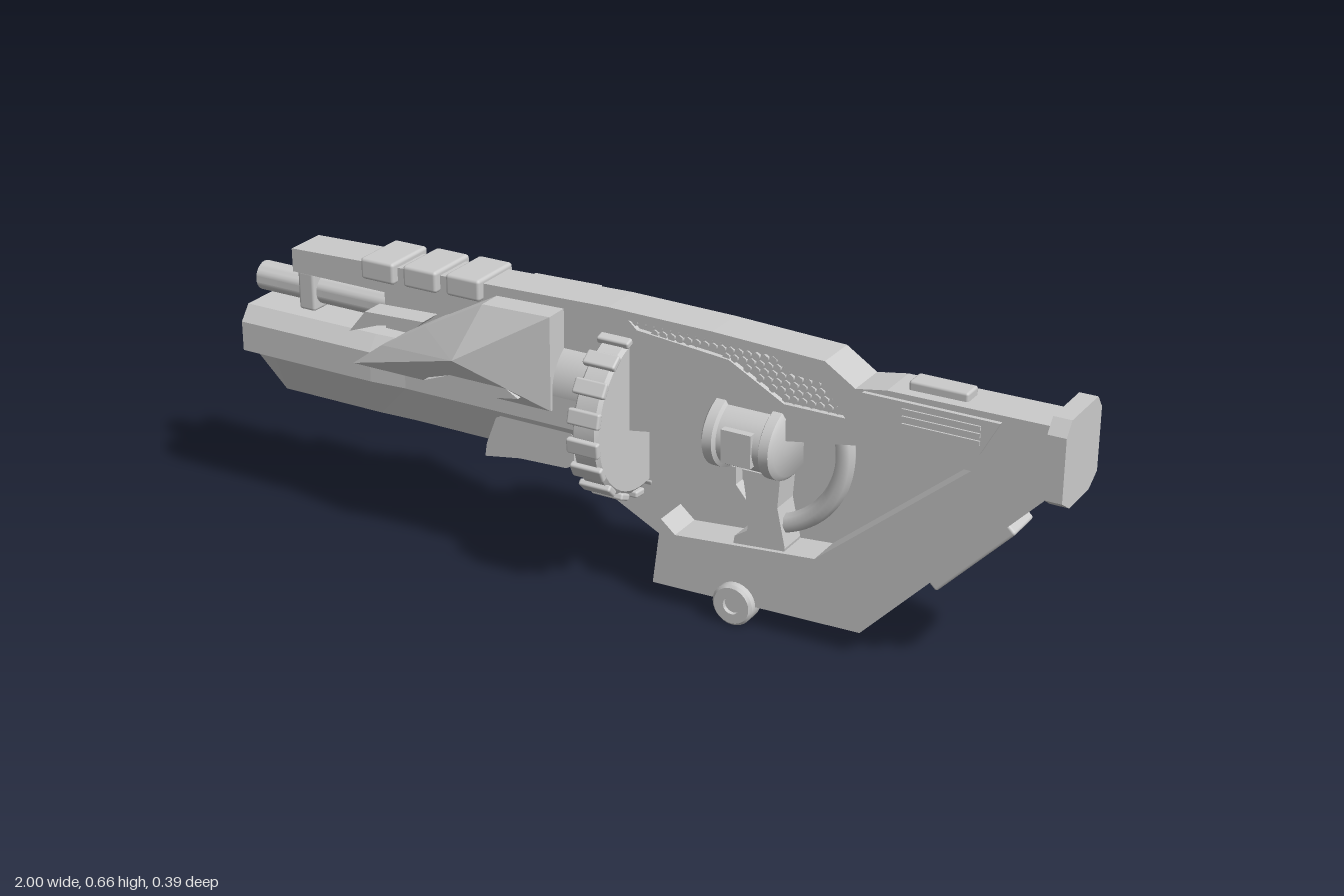
import * as THREE from 'three';
import { RoundedBoxGeometry } from 'three/addons/geometries/RoundedBoxGeometry.js';
import { toCreasedNormals } from 'three/addons/utils/BufferGeometryUtils.js';

const mat = new THREE.MeshStandardMaterial({ color: 0xcccccc, side: THREE.DoubleSide });

export function createModel() {
  const model = new THREE.Group();
  const add = (name, geo, x = 0, y = 0, z = 0) => {
    const m = new THREE.Mesh(geo, mat);
    m.name = name;
    m.position.set(x, y, z);
    model.add(m);
    return m;
  };
  const vecs = (pts) => pts.map(([x, y]) => new THREE.Vector2(x, y));

  // Side profile (x, y) extruded from z0 to z1
  const slab = (name, pts, z0, z1, holes = []) => {
    const shape = new THREE.Shape(vecs(pts));
    holes.forEach((h) => shape.holes.push(new THREE.Path(vecs(h))));
    const geo = new THREE.ExtrudeGeometry(shape, { depth: z1 - z0, bevelEnabled: false });
    return add(name, geo.translate(0, 0, z0));
  };
  // Half cross-section (z, y), mirrored and extruded along x
  const prismX = (half, x0, x1, steps = 1) => {
    const pts = [...half, ...half.map(([z, y]) => [-z, y]).reverse()];
    return new THREE.ExtrudeGeometry(new THREE.Shape(vecs(pts)),
      { depth: x1 - x0, steps, bevelEnabled: false }).rotateY(Math.PI / 2).translate(x0, 0, 0);
  };
  // Turned profile (radius, x) around the x axis
  const latheX = (pts, seg = 40) => toCreasedNormals(
    new THREE.LatheGeometry(vecs(pts), seg).rotateZ(-Math.PI / 2), 0.6);

  // Flat body: full back plate, C-shaped frame and a pierced front skin
  const top = [[-0.88, 0.58], [-0.88, 0.635], [-0.4, 0.652], [-0.05, 0.663], [0.2, 0.66],
    [0.46, 0.65], [0.53, 0.605], [0.6, 0.617], [0.96, 0.62], [0.96, 0.47], [0.94, 0.45],
    [0.56, 0.055], [0.06, 0.042]];
  const front = [[-0.3, 0.39], [-0.3, 0.5], [-0.5, 0.58]];
  slab('backPlate', [...top, [0.075, 0.09], [-0.3, 0.28], ...front.slice(1)], -0.05, -0.035);
  const frame = [...top, [0.08, 0.2], [0.115, 0.17], [0.45, 0.2], [0.79, 0.485],
    [0.56, 0.485], [0.3, 0.44], [0, 0.39], ...front];
  slab('frame', frame, -0.035, 0.038);
  const grille = [[0, 0.643], [0.34, 0.638], [0.39, 0.605], [0.46, 0.6], [0.51, 0.535],
    [0.37, 0.535], [0.24, 0.605], [0.02, 0.625]];
  slab('frontSkin', frame, 0.038, 0.05, [grille]);

  // Honeycomb filling the grille opening
  const inside = (x, y) => {
    let hit = false;
    grille.forEach(([ax, ay], i) => {
      const [bx, by] = grille[(i + 1) % grille.length];
      if (ay > y !== by > y && x < ((bx - ax) * (y - ay)) / (by - ay) + ax) hit = !hit;
    });
    return hit;
  };
  for (let r = 0; r < 9; r++) {
    for (let c = 0; c < 28; c++) {
      const x = (c + (r % 2) / 2) * 0.02, y = 0.53 + r * 0.0155;
      if (inside(x, y)) {
        add('honeycombCell', new THREE.CylinderGeometry(0.009, 0.009, 0.008, 6)
          .rotateX(Math.PI / 2), x, y, 0.041);
      }
    }
  }

  // Stock: butt plate, vent panels, cheek block and the lower edge pad
  add('buttPlate', prismX([[0.05, 0.455], [0.09, 0.48], [0.09, 0.62], [0.066, 0.65]], 0.96, 1));
  add('stockTopBlock', new RoundedBoxGeometry(0.13, 0.03, 0.05, 2, 0.006), 0.7, 0.622, 0);
  for (const s of [1, -1]) {
    slab('ventPanel', [[0.55, 0.605], [0.85, 0.605], [0.81, 0.53], [0.595, 0.53]],
      s > 0 ? 0.045 : -0.06, s > 0 ? 0.06 : -0.045);
    for (let i = 0; i < 3; i++) {
      add('ventSlat', new THREE.BoxGeometry(0.17, 0.009, 0.006), 0.725, 0.555 + i * 0.016, s * 0.061);
    }
  }
  const pad = add('stockEdgePad', new RoundedBoxGeometry(0.24, 0.03, 0.094, 2, 0.006), 0.798, 0.292, 0);
  pad.rotation.z = Math.atan2(0.395, 0.38);

  // Pivot housing with end collars and side windows
  add('pivotHousing', latheX([[0, -0.085], [0.1, -0.085], [0.113, -0.077], [0.113, -0.055],
    [0.103, -0.05], [0.103, 0.05], [0.113, 0.055], [0.113, 0.077], [0.1, 0.085], [0, 0.085]]),
  0.29, 0.437, 0).scale.y = 0.76;
  for (const s of [1, -1]) {
    add('pivotWindow', new THREE.BoxGeometry(0.07, 0.075, 0.02), 0.29, 0.437, s * 0.098);
  }

  // Grip, trigger and the curved guard in the recess
  slab('grip', [[0.27, 0.36], [0.36, 0.36], [0.355, 0.29], [0.375, 0.2], [0.37, 0.17],
    [0.25, 0.17], [0.255, 0.2], [0.285, 0.22], [0.285, 0.27]], -0.03, 0.04);
  slab('trigger', [[0.21, 0.35], [0.245, 0.35], [0.245, 0.31], [0.27, 0.28], [0.25, 0.265],
    [0.215, 0.29]], -0.01, 0.02);
  const arc = new THREE.TorusGeometry(0.195, 0.022, 8, 24, 1.5).rotateZ(-1.3);
  add('guardRing', arc, 0.3, 0.43, 0.01);

  // Twin rollers with bored hubs under the body
  for (const s of [1, -1]) {
    const roller = new THREE.LatheGeometry(vecs([[0.02, -0.025], [0.042, -0.025], [0.048, -0.019],
      [0.048, 0.019], [0.042, 0.025], [0.02, 0.025], [0.02, -0.025]]), 28).rotateX(Math.PI / 2);
    add('roller', toCreasedNormals(roller, 0.6), 0.265, 0.048, s * 0.045);
  }
  add('rollerAxle', new THREE.CylinderGeometry(0.021, 0.021, 0.12, 20).rotateX(Math.PI / 2), 0.265, 0.048, 0);

  // Ribbed drum
  add('drum', latheX([[0, -0.032], [0.175, -0.032], [0.184, -0.025], [0.184, 0.025],
    [0.175, 0.032], [0, 0.032]], 54), -0.03, 0.415, 0);
  for (let i = 0; i < 18; i++) {
    const a = 0.1 + (i / 18) * Math.PI * 2;
    const rib = add('drumRib', new RoundedBoxGeometry(0.078, 0.016, 0.035, 2, 0.005),
      -0.03, 0.415 + 0.187 * Math.sin(a), -0.187 * Math.cos(a));
    rib.rotation.x = a + Math.PI / 2 - 2 * a - Math.PI;
    rib.rotation.x = Math.atan2(-Math.cos(a), Math.sin(a));
  }
  add('drumShaft', latheX([[0, -0.08], [0.1, -0.08], [0.1, 0.08], [0, 0.08]]), -0.12, 0.46, 0);

  // Barrel housing, its underside raked up at the muzzle
  const housing = prismX([[0.05, 0.295], [0.07, 0.295], [0.107, 0.385], [0.107, 0.455],
    [0.08, 0.49]], -0.99, -0.1, 10);
  const p = housing.attributes.position;
  for (let i = 0; i < p.count; i++) {
    if (p.getX(i) < -0.98) p.setY(i, Math.max(p.getY(i), 0.38));
    if (p.getX(i) > -0.6) p.setZ(i, p.getZ(i) * 0.93);
  }
  housing.computeVertexNormals();
  add('barrelHousing', housing);

  // Barrels (open tubes) and the clamp
  const tube = (name, r, x0, x1, y) => add(name, latheX([[0, x0 + 0.06], [r * 0.68, x0 + 0.06],
    [r * 0.68, x0], [r, x0], [r, x1], [0, x1]], 28), 0, y, 0);
  tube('upperBarrel', 0.034, -1, -0.1, 0.532);
  tube('lowerBarrel', 0.025, -0.985, -0.8, 0.333);
  add('lowerMuzzleRing', latheX([[0.019, -0.02], [0.029, -0.02], [0.029, 0.02], [0.019, 0.02]], 28),
    -0.955, 0.333, 0);
  add('barrelClamp', new RoundedBoxGeometry(0.045, 0.095, 0.085, 2, 0.008), -0.852, 0.535, 0);
  add('barrelSpine', new THREE.BoxGeometry(0.55, 0.12, 0.08), -0.36, 0.53, 0);

  // Top rail blocks
  for (let i = 0; i < 3; i++) {
    add('railBlock', new RoundedBoxGeometry(0.088, 0.05, 0.136, 2, 0.008),
      -0.634 + i * 0.113, 0.633 + i * 0.003, 0);
  }

  // Faceted side shrouds: a rim fanned to a raised peak, closed back to the body
  const rim = [[-0.68, 0.42], [-0.6, 0.48], [-0.48, 0.55], [-0.33, 0.632], [-0.16, 0.637],
    [-0.16, 0.42]];
  for (const s of [1, -1]) {
    const pos = [];
    const tri = (a, b, c) => pos.push(...(s > 0 ? [...a, ...b, ...c] : [...a, ...c, ...b]));
    rim.forEach(([x, y], i) => {
      const [u, v] = rim[(i + 1) % rim.length];
      const a = [x, y, s * 0.107], b = [u, v, s * 0.107];
      const c = [x, y, s * 0.04], d = [u, v, s * 0.04];
      tri([-0.37, 0.515, s * 0.17], b, a);
      tri(a, b, c);
      tri(b, d, c);
    });
    const geo = new THREE.BufferGeometry();
    geo.setAttribute('position', new THREE.Float32BufferAttribute(pos, 3));
    geo.computeVertexNormals();
    add('sideShroud', geo);
    slab('shroudFin', [[-0.68, 0.5], [-0.635, 0.555], [-0.48, 0.562], [-0.5, 0.545],
      [-0.6, 0.53]], s > 0 ? 0.06 : -0.115, s > 0 ? 0.115 : -0.06);
    slab('shroudBlade', [[-0.47, 0.435], [-0.38, 0.47], [-0.27, 0.47], [-0.225, 0.445],
      [-0.3, 0.432]], s > 0 ? 0.09 : -0.135, s > 0 ? 0.135 : -0.09);
  }

  // Bracket under the housing
  slab('underBracket', [[-0.34, 0.268], [-0.335, 0.3], [-0.31, 0.365], [-0.29, 0.378],
    [-0.13, 0.385], [-0.11, 0.365], [-0.11, 0.3], [-0.13, 0.288], [-0.25, 0.283]], -0.095, 0.095);

  return model;
}
